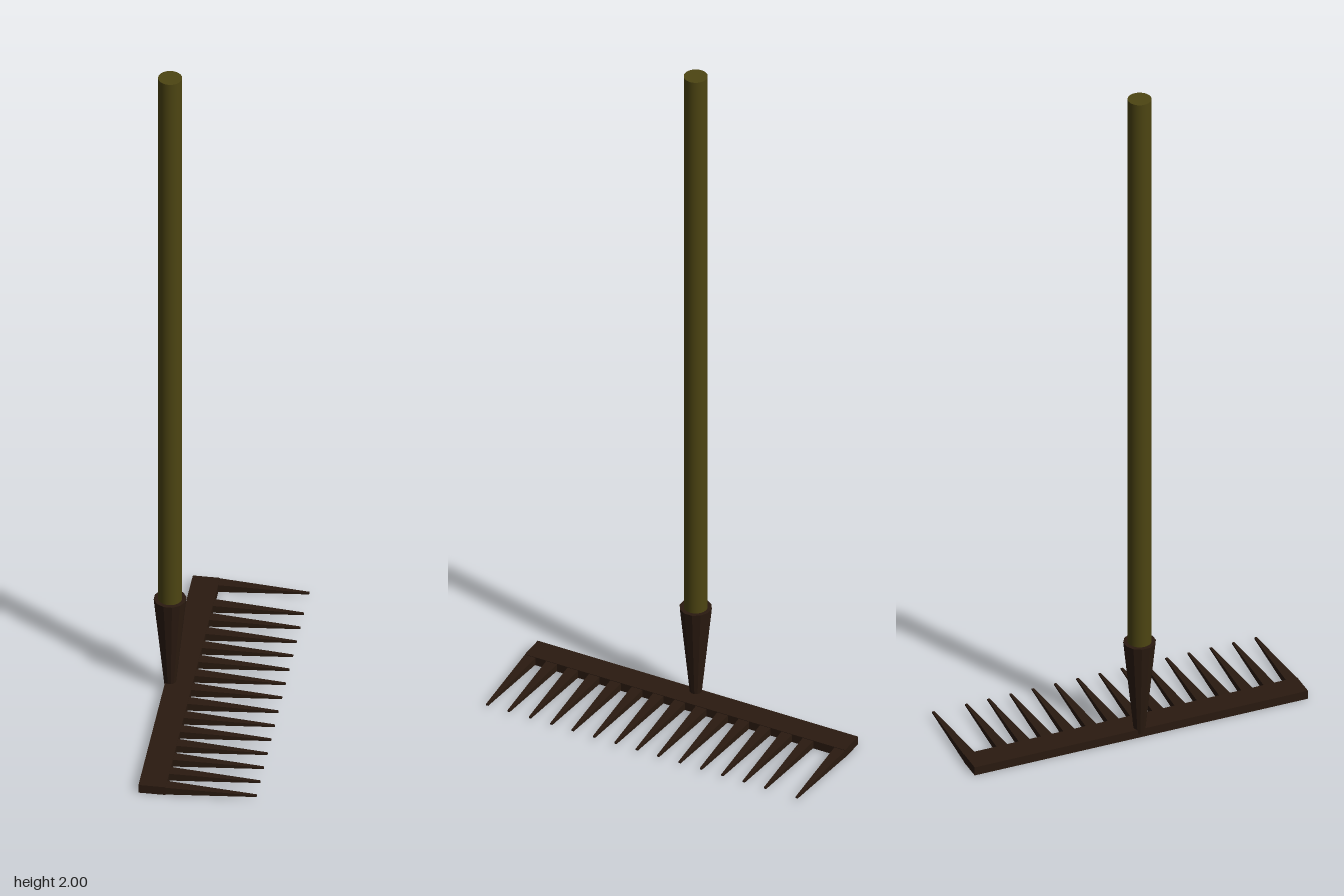
import * as THREE from 'three';

const wood = new THREE.MeshStandardMaterial({ color: 0x4d4512 });
const metal = new THREE.MeshStandardMaterial({ color: 0x2a1a10, flatShading: true });

const POLE_X = -0.131;   // axis of handle and socket
const BAR_BACK = -0.143, BAR_FRONT = -0.07, BAR_H = 0.025, BAR_LEN = 0.966;
const TIP_X = 0.173;

function addMesh(parent, name, geometry, material, x, y, z) {
  const mesh = new THREE.Mesh(geometry, material);
  mesh.name = name;
  mesh.position.set(x, y, z);
  parent.add(mesh);
  return mesh;
}

// Box along +x whose far end shrinks to a narrow tip
function toothGeometry(length, height, width, tipScale) {
  const g = new THREE.BoxGeometry(length, height, width);
  g.translate(length / 2, 0, 0);
  const p = g.attributes.position;
  for (let i = 0; i < p.count; i++) {
    if (p.getX(i) > length / 2) {
      p.setY(i, p.getY(i) * tipScale);
      p.setZ(i, p.getZ(i) * tipScale);
    }
  }
  g.computeVertexNormals();
  return g;
}

export function createModel() {
  const rake = new THREE.Group();
  rake.name = 'rake';

  // Wooden pole
  addMesh(rake, 'handle', new THREE.CylinderGeometry(0.032, 0.032, 1.73, 32), wood, POLE_X, 1.135, 0);

  // Tapered socket joining pole and head
  const socket = new THREE.CylinderGeometry(0.044, 0.015, 0.285, 12);
  socket.rotateY(Math.PI / 12);
  addMesh(rake, 'socket', socket, metal, POLE_X, 0.1525, 0);

  // Head: bar with a row of teeth
  const head = new THREE.Group();
  head.name = 'head';
  rake.add(head);
  addMesh(head, 'bar', new THREE.BoxGeometry(BAR_FRONT - BAR_BACK, BAR_H, BAR_LEN), metal,
    (BAR_FRONT + BAR_BACK) / 2, BAR_H / 2, 0);

  // Fourteen evenly spaced teeth plus one end tooth set further apart
  const tooth = toothGeometry(TIP_X - BAR_FRONT, 0.022, 0.032, 0.2);
  const positions = [-0.467];
  for (let i = 0; i < 14; i++) positions.push(0.467 - i * 0.0645);
  for (const z of positions) addMesh(head, 'tooth', tooth, metal, BAR_FRONT, BAR_H / 2, z);

  return rake;
}
